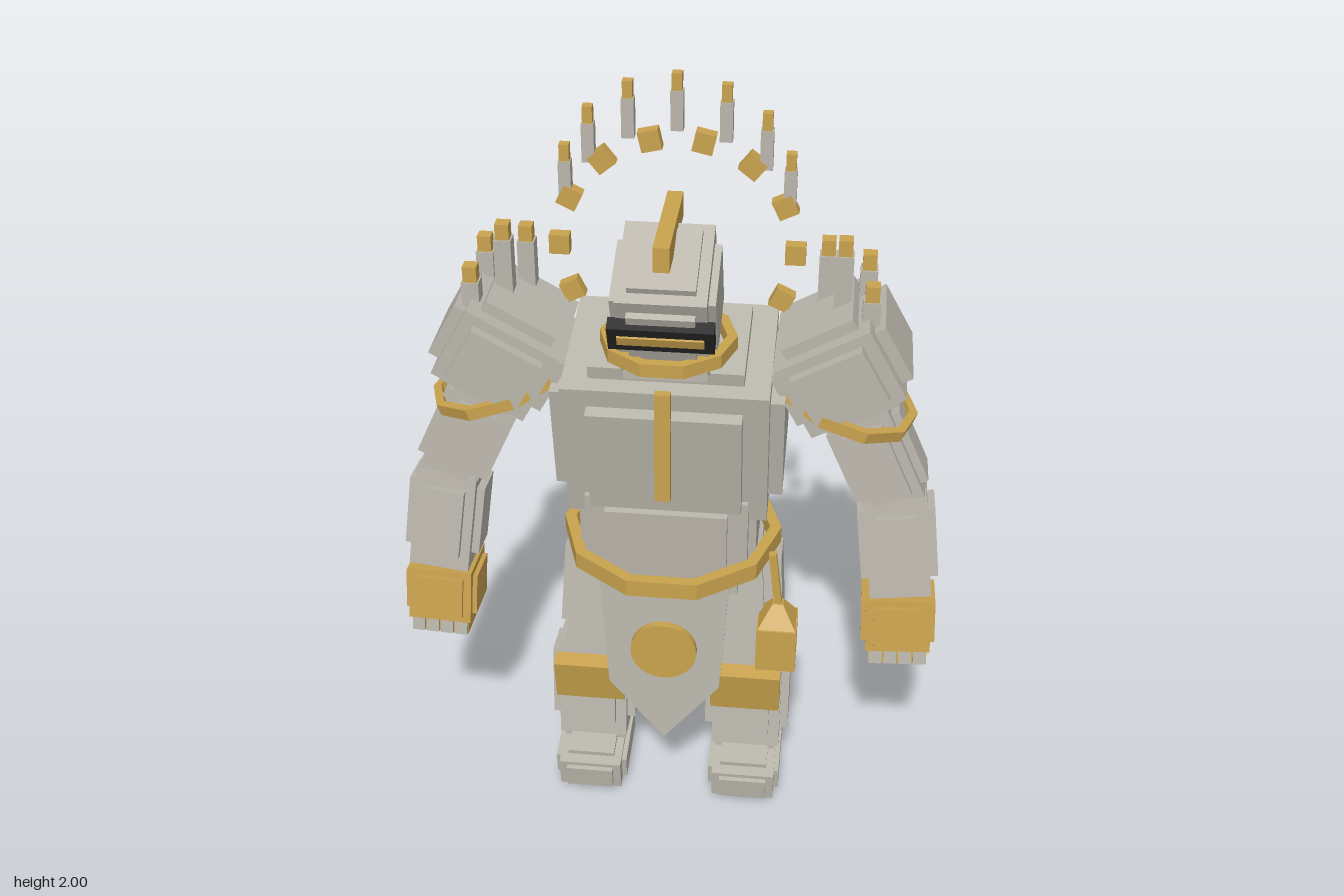
import * as THREE from 'three';

const mat = (name, color, extra = {}) => {
  const m = new THREE.MeshStandardMaterial({ color, ...extra });
  m.name = name;
  return m;
};

export function createModel() {
  const stone = mat('pale stone', 0xbab6ac);
  const gold = mat('antique gold', 0xc9a24e);
  const black = mat('visor black', 0x242424);

  const root = new THREE.Group();
  root.name = 'armouredGuardian';

  const place = (obj, name, pos, rot = [0, 0, 0], parent = root) => {
    obj.name = name;
    obj.position.set(...pos);
    obj.rotation.set(...rot);
    parent.add(obj);
    return obj;
  };
  const box = (name, m, size, pos, rot, parent) =>
    place(new THREE.Mesh(new THREE.BoxGeometry(...size), m), name, pos, rot, parent);

  // Box with a raised smaller panel on every face
  const panelBox = (name, m, [w, h, d], t, pos, rot, parent, k = 0.75) => {
    const g = place(new THREE.Group(), name, pos, rot, parent);
    box(name + 'Core', m, [w, h, d], [0, 0, 0], [0, 0, 0], g);
    box(name + 'SidePanels', m, [w + 2 * t, h * k, d * k], [0, 0, 0], [0, 0, 0], g);
    box(name + 'EndPanels', m, [w * k, h + 2 * t, d * k], [0, 0, 0], [0, 0, 0], g);
    box(name + 'FacePanels', m, [w * k, h * k, d + 2 * t], [0, 0, 0], [0, 0, 0], g);
    return g;
  };

  // Flat-sided band of rectangular section
  const band = (name, r, h, t, pos, rot) => {
    const p = [[r - t, -h / 2], [r, -h / 2], [r, h / 2], [r - t, h / 2], [r - t, -h / 2]];
    const geo = new THREE.LatheGeometry(p.map(q => new THREE.Vector2(...q)), 10, Math.PI / 10);
    const flat = geo.toNonIndexed();
    flat.computeVertexNormals();
    return place(new THREE.Mesh(flat, gold), name, pos, rot);
  };

  // Upright stone post with a gold tip, given by its top
  const post = (name, x, top, z, h, w, tip) => {
    const g = place(new THREE.Group(), name, [x, top, z]);
    box(name + 'Shaft', stone, [w, h - tip, w], [0, -tip - (h - tip) / 2, 0], [0, 0, 0], g);
    box(name + 'Tip', gold, [w * 0.8, tip, w * 0.8], [0, -tip / 2, 0], [0, 0, 0], g);
  };

  // Torso
  panelBox('chest', stone, [0.5, 0.4, 0.36], 0.035, [0, 1.155, -0.01], [0.175, 0, 0]);
  panelBox('abdomen', stone, [0.41, 0.25, 0.28], 0.02, [0, 0.87, 0.01], [0.06, 0, 0]);
  box('hips', stone, [0.36, 0.12, 0.26], [0, 0.73, -0.02]);
  box('chestStripe', gold, [0.038, 0.3, 0.022], [0, 1.19, 0.228]);
  band('belt', 0.285, 0.046, 0.03, [0, 0.792, 0]);
  band('collar', 0.165, 0.034, 0.025, [0, 1.41, 0.09]);
  box('neck', stone, [0.2, 0.12, 0.2], [0, 1.4, 0.07]);

  // Head, visor and crest
  const head = panelBox('head', stone, [0.21, 0.26, 0.24], 0.017, [0, 1.525, 0.107], [0.42, 0, 0]);
  box('visor', black, [0.245, 0.075, 0.035], [0, 0.037, 0.135], [0, 0, 0], head);
  box('visorSlit', gold, [0.2, 0.026, 0.008], [0, 0.037, 0.154], [0, 0, 0], head);
  box('crest', gold, [0.038, 0.06, 0.305], [0, 1.692, 0.092]);

  // Pointed cloth panels, front and back
  const half = [[0.165, 0.77], [0.145, 0.44], [0, 0.262], [-0.145, 0.44], [-0.165, 0.77]];
  const flapGeo = new THREE.ExtrudeGeometry(
    new THREE.Shape(half.map(([x, y]) => new THREE.Vector2(x, y - 0.77))),
    { depth: 0.014, bevelEnabled: false });
  flapGeo.translate(0, 0, -0.007);
  place(new THREE.Mesh(flapGeo, stone), 'frontFlap', [0, 0.77, 0.195], [-0.05, 0, 0]);
  place(new THREE.Mesh(flapGeo, stone), 'backFlap', [0, 0.77, -0.18], [0.05, 0, 0]);
  const disc = new THREE.CylinderGeometry(0.086, 0.086, 0.02, 24);
  place(new THREE.Mesh(disc, gold), 'emblemDisc', [0, 0.56, 0.222], [Math.PI / 2, 0, 0]);
  box('emblemDiamond', gold, [0.036, 0.036, 0.03], [0, 0.56, 0.23], [0, 0, Math.PI / 4]);

  // Hanging pouch with a pyramid lid and strap on the left hip
  box('pouch', gold, [0.105, 0.13, 0.11], [0.287, 0.515, 0.09]);
  const lid = new THREE.CylinderGeometry(0.02, 0.07, 0.06, 4, 1).toNonIndexed();
  lid.computeVertexNormals();
  lid.rotateY(Math.PI / 4);
  place(new THREE.Mesh(lid, gold), 'pouchLid', [0.287, 0.61, 0.09]);
  box('pouchStrap', gold, [0.02, 0.17, 0.02], [0.278, 0.71, 0.09], [0, 0, 0.12]);

  for (const s of [1, -1]) {
    const side = s > 0 ? 'left' : 'right';

    // Shoulder pad, ring and spikes
    panelBox(side + 'ShoulderPad', stone, [0.25, 0.2, 0.3], 0.028, [s * 0.412, 1.342, 0.005], [0, 0, s * 0.51]);
    band(side + 'ShoulderRing', 0.188, 0.03, 0.022, [s * 0.425, 1.238, 0.005], [0, 0, -s * 0.34]);
    [[0.366, 1.61, -0.08], [0.465, 1.585, -0.065], [0.406, 1.65, 0], [0.474, 1.57, 0.07]]
      .forEach(([x, y, z], i) => post(side + 'ShoulderSpike' + (i + 1), s * x, y, z, 0.19, 0.042, 0.04));

    // Arm
    panelBox(side + 'UpperArm', stone, [0.15, 0.3, 0.16], 0.02, [s * 0.515, 1.09, 0.02], [-0.06, 0, s * 0.43], root, 0.68);
    panelBox(side + 'Forearm', stone, [0.155, 0.28, 0.16], 0.02, [s * 0.582, 0.85, 0.048], [-0.13, 0, s * 0.12], root, 0.68);
    const hand = panelBox(side + 'Gauntlet', gold, [0.165, 0.15, 0.17], 0.012, [s * 0.598, 0.63, 0.078], [-0.13, 0, s * 0.05]);
    box(side + 'Fist', gold, [0.15, 0.05, 0.15], [0, -0.09, 0], [0, 0, 0], hand);
    for (let i = 0; i < 4; i++)
      box(side + 'Finger' + (i + 1), stone, [0.033, 0.045, 0.03], [(i - 1.5) * 0.038, -0.09, 0.07], [0, 0, 0], hand);

    // Leg
    panelBox(side + 'Thigh', stone, [0.17, 0.34, 0.17], 0.02, [s * 0.19, 0.585, -0.04], [-0.14, 0, s * 0.06], root, 0.68);
    panelBox(side + 'Shin', stone, [0.185, 0.3, 0.16], 0.022, [s * 0.212, 0.28, 0.005], [-0.13, 0, 0], root, 0.68);
    panelBox(side + 'Foot', stone, [0.17, 0.09, 0.25], 0.013, [s * 0.212, 0.072, 0.055], [0.13, 0, 0]);
    box(side + 'Ankle', stone, [0.165, 0.1, 0.15], [s * 0.212, 0.13, 0.01]);
    box(side + 'KneePad', gold, [0.185, 0.13, 0.045], [s * 0.21, 0.376, 0.133], [0.18, 0, 0]);
  }

  // Floating crown behind the head: spikes outside, tilted cubes inside
  [[0, 2], [0.115, 1.977], [0.21, 1.912], [0.268, 1.815]].forEach(([x, y], i) => {
    for (const s of x ? [1, -1] : [1]) post('crownSpike' + i, s * x, y, -0.097, 0.138, 0.03, 0.042);
  });
  for (let i = -5; i < 5; i++) {
    const a = (i + 0.5) * Math.PI / 7;
    box('crownCube', gold, [0.05, 0.05, 0.032],
      [Math.sin(a) * 0.287, 1.557 + Math.cos(a) * 0.284, -0.097], [0, 0, -a]);
  }
  return root;
}
